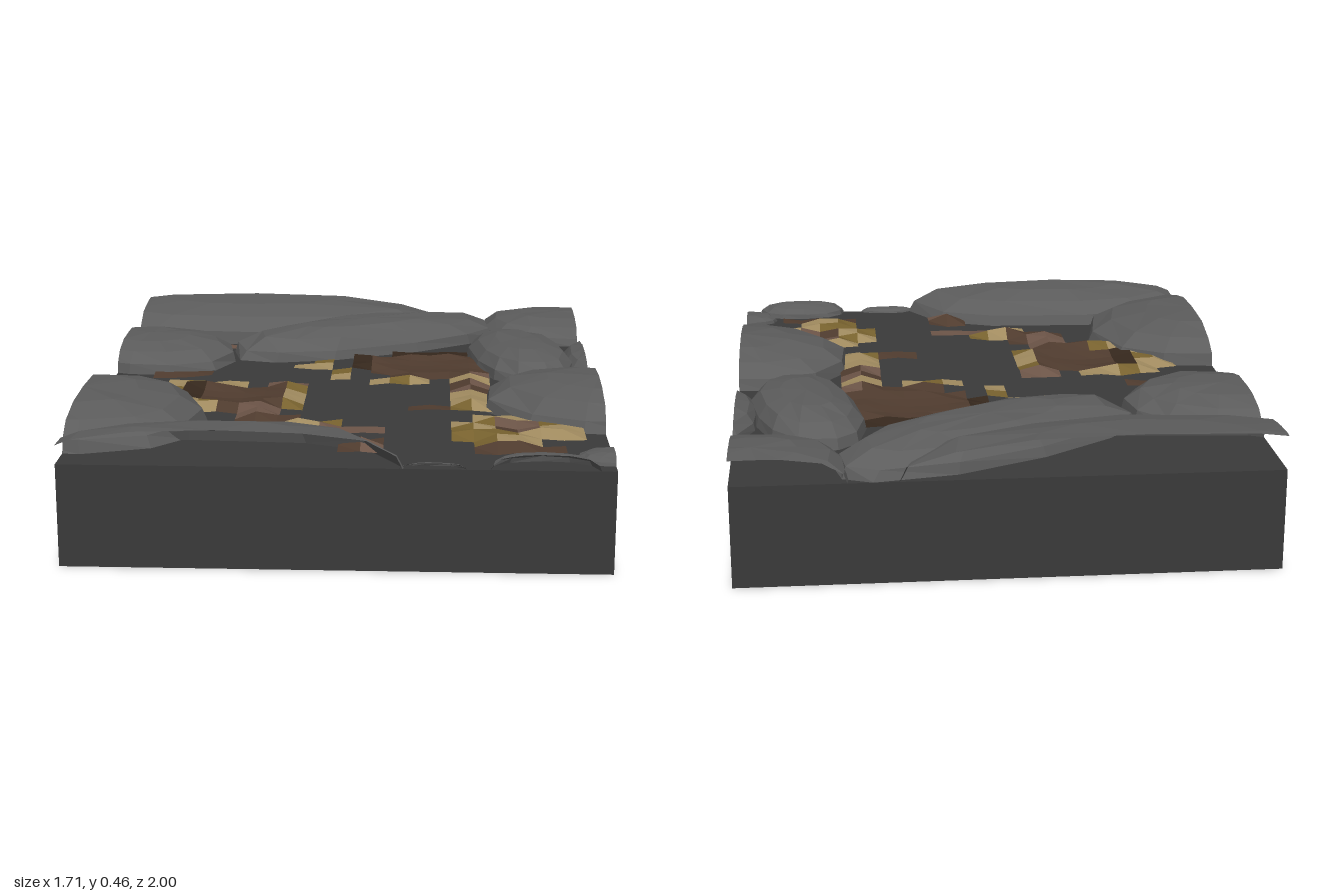
import * as THREE from 'three';

const HX = 0.857, HZ = 1, FLOOR = 0.33, COLS = 24, ROWS = 28;
const CELL = 2 / ROWS, SIDES = 12;

// Boulders as [centre x, centre z, half length, half width, turn, crown height]
const BOULDERS = [
  [-0.42, -1, 0.76, 0.37, 0, 0.13],
  [0.04, -0.67, 0.56, 0.21, -0.48, 0.105],
  [0.79, -0.9, 0.31, 0.25, 0, 0.09],
  [0.62, -0.36, 0.35, 0.18, 1.36, 0.1],
  [0.92, -0.36, 0.27, 0.14, 1.57, 0.07],
  [0.86, 0.28, 0.4, 0.31, 0.35, 0.12],
  [-0.77, -0.4, 0.33, 0.26, 0.3, 0.1],
  [-0.86, 0.5, 0.41, 0.39, 0, 0.12],
  [-0.37, 1, 0.58, 0.29, 0, 0.115],
  [0.64, 1.01, 0.17, 0.11, 0, 0.05],
  [0.87, 0.88, 0.13, 0.07, 0, 0.035],
  [0.3, 1.02, 0.11, 0.06, 0, 0.02],
];

// Ground patches as [column, row, columns wide, rows deep]
const DRY = [[9, 10, 2, 1], [10, 9, 1, 1], [11, 11, 1, 2], [13, 13, 3, 1], [3, 14, 4, 1], [2, 15, 2, 3], [3, 18, 4, 2],
  [9, 15, 1, 4], [9, 21, 3, 2], [17, 12, 2, 2], [17, 16, 2, 3], [17, 21, 6, 3], [18, 20, 3, 1], [18, 24, 3, 1], [6, 5, 1, 1]];
const DAMP = [[13, 8, 6, 4], [14, 7, 4, 1], [12, 8, 1, 3], [14, 12, 5, 1], [5, 6, 2, 1], [2, 12, 3, 1], [4, 15, 5, 3],
  [8, 14, 2, 1], [6, 18, 3, 2], [7, 20, 3, 2], [11, 22, 3, 1], [12, 24, 2, 2], [17, 14, 2, 2], [15, 18, 2, 1], [19, 21, 2, 2], [18, 25, 4, 1]];
const COLORS = { sand: 0xa28c60, ochre: 0x79632f, brown: 0x503c2f, mauve: 0x6d5548, dark: 0x36281d };

// Shallow hollows as [x, z, radius]
const HOLLOWS = [[0.26, -0.29, 0.25], [-0.39, 0.18, 0.17], [0.57, 0.57, 0.1]];

function noise(i, j) {
  const s = Math.sin(i * 127.1 + j * 311.7) * 43758.5453;
  return s - Math.floor(s);
}

function facetedMesh(name, points, color) {
  const geo = new THREE.BufferGeometry().setFromPoints(points);
  geo.computeVertexNormals();
  const mesh = new THREE.Mesh(geo, new THREE.MeshStandardMaterial({ color, flatShading: true, side: THREE.DoubleSide }));
  mesh.name = name;
  return mesh;
}

// Cuts away the part of a polygon where sign * axis exceeds the limit
function clip(poly, axis, sign, limit) {
  const out = [];
  poly.forEach((a, i) => {
    const b = poly[(i + 1) % poly.length];
    const da = limit - sign * a[axis], db = limit - sign * b[axis];
    if (da >= 0) out.push(a);
    if (da * db < 0) out.push(a.clone().lerp(b, da / (da - db)));
  });
  return out;
}

// Faceted dome from shrinking rings, open where the slab's edge cuts it
function boulderPoints([cx, cz, length, width, turn, height], seed) {
  const profile = [[1, 0], [0.96, 0.34], [0.79, 0.72], [0.46, 0.93], [0, 1]];
  const round = (v) => Math.sign(v) * Math.abs(v) ** 0.88;
  const rings = profile.map(([scale, level], k) => Array.from({ length: SIDES }, (_, i) => {
    const t = -(i + 0.35 * noise(i, seed)) / SIDES * Math.PI * 2;
    const wobble = k % 4 ? (noise(i + seed * 13, k) - 0.5) * 0.07 : 0;
    const s = scale + wobble / 2;
    return new THREE.Vector3(round(Math.cos(t)) * length * s, height * (level + wobble), round(Math.sin(t)) * width * s)
      .applyAxisAngle(THREE.Object3D.DEFAULT_UP, -turn)
      .add(new THREE.Vector3(cx, FLOOR, cz));
  }));
  const points = [];
  const addTriangle = (...tri) => {
    let poly = tri;
    for (const sign of [1, -1]) poly = clip(clip(poly, 'x', sign, HX), 'z', sign, HZ);
    for (let i = 1; i + 1 < poly.length; i++) points.push(poly[0], poly[i], poly[i + 1]);
  };
  for (let k = 0; k < 4; k++) {
    for (let i = 0; i < SIDES; i++) {
      const j = (i + 1) % SIDES, lo = rings[k], hi = rings[k + 1];
      addTriangle(lo[i], lo[j], hi[i]);
      if (k < 3) addTriangle(lo[j], hi[j], hi[i]);
    }
  }
  return points;
}

// Soil colour: damp cells in a hollow are brown, darker along its back wall
function soilName(i, j, damp) {
  const pick = noise(i + 3, j + 5);
  if (!damp) return pick > 0.4 ? 'sand' : 'ochre';
  for (const [hx, hz, r] of HOLLOWS.slice(0, 2)) {
    const dx = ((i + 0.5) * CELL - HX - hx) / r, dz = ((j + 0.5) * CELL - HZ - hz) / r;
    if (Math.hypot(dx, dz) < 1.05) return dz < -0.65 || dx < -0.85 ? 'dark' : 'brown';
  }
  return pick > 0.5 ? 'mauve' : 'brown';
}

// Blocky soil: corners at a patch border sink to the floor, inner ones rise
function buildSoil() {
  const group = new THREE.Group();
  group.name = 'soilPatches';
  const cells = new Map();
  [DRY, DAMP].forEach((patches, damp) => {
    for (const [c, r, w, d] of patches)
      for (let i = c; i < c + w; i++)
        for (let j = r; j < r + d; j++) cells.set(j * COLS + i, soilName(i, j, damp));
  });

  const corner = (i, j) => {
    const x = i * CELL - HX, z = j * CELL - HZ;
    const inner = [0, 1, COLS, COLS + 1].every((step) => cells.has(j * COLS + i - step));
    let rise = (inner ? 0.024 : 0.002) + 0.014 * noise(i, j);
    for (const [hx, hz, r] of HOLLOWS) {
      const d = Math.hypot(x - hx, z - hz) / r;
      if (d < 1) rise *= 0.15 + 0.85 * d * d;
    }
    return new THREE.Vector3(x, FLOOR + 0.002 + rise, z);
  };

  for (const [name, color] of Object.entries(COLORS)) {
    const points = [];
    for (const [key, soil] of cells) {
      if (soil !== name) continue;
      const i = key % COLS, j = Math.floor(key / COLS);
      const a = corner(i, j), b = corner(i, j + 1), c = corner(i + 1, j + 1), d = corner(i + 1, j);
      points.push(a, b, c, a, c, d);
    }
    group.add(facetedMesh(name + 'Soil', points, color));
  }
  return group;
}

export function createModel() {
  const model = new THREE.Group();
  model.name = 'rockyGroundTile';

  // Slab
  const slab = new THREE.Mesh(new THREE.BoxGeometry(2 * HX, FLOOR, 2 * HZ), new THREE.MeshStandardMaterial({ color: 0x3a3a3a }));
  slab.name = 'slab';
  slab.position.y = FLOOR / 2;
  model.add(slab);

  // Boulders
  const boulders = new THREE.Group();
  boulders.name = 'boulders';
  BOULDERS.forEach((b, i) => boulders.add(facetedMesh('boulder' + (i + 1), boulderPoints(b, i), 0x5c5c5c)));
  model.add(boulders);

  // Soil
  model.add(buildSoil());
  return model;
}
